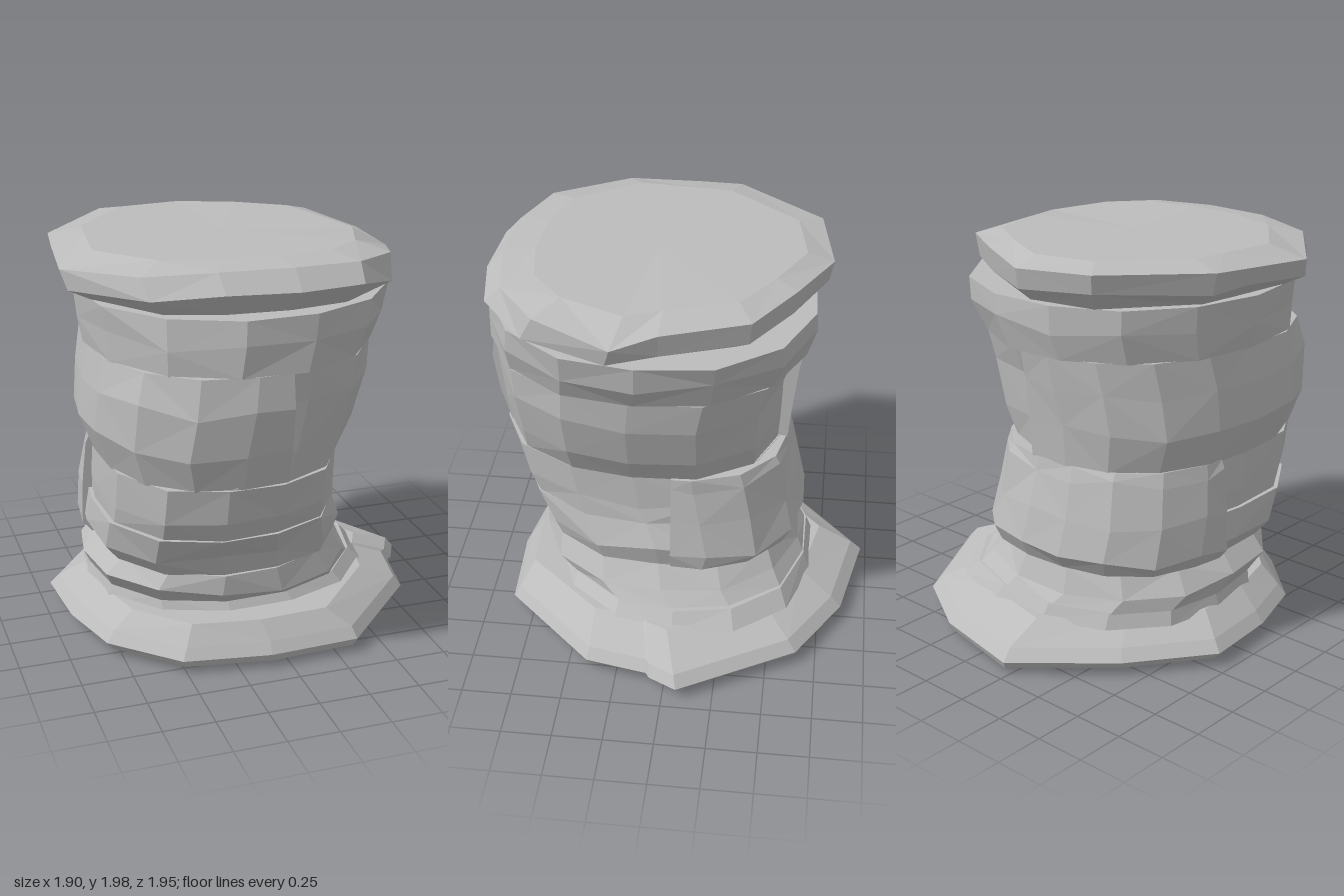
import * as THREE from 'three';

const stone = new THREE.MeshStandardMaterial({ color: 0xbcbcbc });
stone.name = 'stone grey';

// Small repeatable noise in -1..1
let seed = 7;
const noise = () => {
  seed = (seed * 16807) % 2147483647;
  return (seed / 2147483647) * 2 - 1;
};

// One uneven course outline from its bounds; angles in degrees.
// box squares the corners, skew swells the front-right and back-left ones, clip trims points.
function ring(y, x0, x1, z0, z1, { from = 0, to = 360, n = 14, wobble = 0, box = 2, skew = 0, clip } = {}) {
  const steps = to - from === 360 ? n : n - 1;
  const points = [];
  for (let i = 0; i < n; i++) {
    const a = THREE.MathUtils.degToRad(from + ((to - from) * i) / steps);
    const c = Math.cos(a), s = Math.sin(a);
    const corner = Math.pow(Math.abs(c) ** box + Math.abs(s) ** box, -1 / box);
    const r = corner * (1 + skew * Math.max(0, -Math.sin(2 * a))) * (1.008 + noise() * 0.01);
    const p = new THREE.Vector3(
      (x0 + x1) / 2 + ((x1 - x0) / 2) * c * r,
      y + noise() * wobble,
      (z0 + z1) / 2 + ((z1 - z0) / 2) * s * r);
    if (clip) clip(p);
    points.push(p);
  }
  return points;
}

// Faceted closed block through a stack of outlines
function block(name, rings) {
  const pos = [];
  const tri = (...v) => v.forEach((p) => pos.push(p.x, p.y, p.z));
  const n = rings[0].length;
  for (let k = 0; k < rings.length - 1; k++) {
    const a = rings[k], b = rings[k + 1];
    for (let i = 0; i < n; i++) {
      const j = (i + 1) % n;
      if ((i + k) % 2) {
        tri(a[i], b[i], a[j]);
        tri(a[j], b[i], b[j]);
      } else {
        tri(a[i], b[i], b[j]);
        tri(a[i], b[j], a[j]);
      }
    }
  }
  const centre = (r) => r.reduce((s, p) => s.add(p), new THREE.Vector3()).divideScalar(n);
  const low = rings[0], high = rings[rings.length - 1];
  const cLow = centre(low), cHigh = centre(high);
  for (let i = 0; i < n; i++) {
    const j = (i + 1) % n;
    tri(cLow, low[i], low[j]);
    tri(cHigh, high[j], high[i]);
  }
  const g = new THREE.BufferGeometry();
  g.setAttribute('position', new THREE.Float32BufferAttribute(pos, 3));
  g.computeVertexNormals();
  const mesh = new THREE.Mesh(g, stone);
  mesh.name = name;
  return mesh;
}

// Stack of rings sharing the same options; rows are [y, x0, x1, z0, z1]
const course = (name, rows, opts) => block(name, rows.map((row, k) => ring(...row, {
  ...opts,
  wobble: k > 0 && k < rows.length - 1 ? 0.025 : 0,
})));

export function createModel() {
  const tower = new THREE.Group();
  tower.name = 'stoneTower';

  // Spreading foot with an irregular outline and a notch on one side
  const footRim = [
    [0.95, -0.07], [0.88, 0.07], [0.85, 0.09], [0.79, 0.4], [0.35, 0.86], [-0.1, 0.88], [-0.52, 0.81],
    [-0.82, 0.52], [-0.92, 0.18], [-0.95, -0.21], [-0.66, -0.6], [-0.24, -0.97], [0.25, -0.87], [0.62, -0.65],
  ];
  const foot = (f) => footRim.map(([x, z]) => new THREE.Vector3(...f(x, z)));
  tower.add(block('foot', [
    foot((x, z) => [x * 0.82 - 0.04, 0.01, z * 0.86]),
    foot((x, z) => [x * 0.96, 0.04, z * 0.98]),
    foot((x, z) => [x, 0.08, z]),
    foot((x, z) => [x * 0.95, 0.135, z * 0.95 + 0.01]),
    foot((x, z) => [x * 0.77 - 0.05, 0.225, z * 0.82 + 0.06]),
  ]));

  // Lower courses
  const low = { box: 2.2, skew: 0.02 };
  tower.add(course('footCollar', [
    [0.2, -0.79, 0.67, -0.7, 0.66],
    [0.28, -0.77, 0.59, -0.66, 0.62],
  ], low));
  tower.add(course('lowerCourse', [
    [0.27, -0.77, 0.58, -0.66, 0.63],
    [0.35, -0.81, 0.52, -0.62, 0.73],
    [0.455, -0.73, 0.43, -0.58, 0.73],
  ], low));
  const neck = { box: 2.4, skew: 0.04 };
  tower.add(course('waistCourse', [
    [0.45, -0.73, 0.44, -0.56, 0.7],
    [0.55, -0.8, 0.46, -0.57, 0.74],
    [0.69, -0.79, 0.4, -0.55, 0.83],
  ], neck));
  tower.add(course('neckCourse', [
    [0.685, -0.77, 0.4, -0.54, 0.82],
    [0.78, -0.77, 0.39, -0.53, 0.87],
    [0.97, -0.76, 0.38, -0.5, 0.91],
  ], neck));

  // Bulging block across the back of the waist and neck
  tower.add(course('backBlock', [
    [0.45, -0.75, 0.45, -0.58, 0.66],
    [0.53, -0.8, 0.47, -0.63, 0.68],
    [0.72, -0.8, 0.43, -0.59, 0.72],
    [0.91, -0.77, 0.41, -0.55, 0.74],
    [0.968, -0.76, 0.4, -0.53, 0.74],
  ], { from: 176, to: 364, n: 10, box: 2.4, skew: 0.04, clip: (p) => { p.z = Math.min(p.z, 0.01); } }));

  // Main drum: a larger left half and a set-back right half, split by a vertical step
  tower.add(course('drumRightHalf', [
    [0.962, -0.7, 0.39, -0.47, 0.89],
    [1.12, -0.72, 0.47, -0.48, 0.9],
    [1.35, -0.72, 0.54, -0.49, 0.91],
    [1.512, -0.72, 0.56, -0.54, 0.92],
  ], { box: 2.2, skew: 0.08 }));
  tower.add(course('drumLeftHalf', [
    [0.962, -0.77, 0.42, -0.53, 0.9],
    [1.15, -0.84, 0.5, -0.55, 0.94],
    [1.35, -0.82, 0.55, -0.57, 0.97],
    [1.514, -0.79, 0.56, -0.6, 0.95],
  ], { from: 76, to: 284, n: 11, box: 2.3, skew: 0.04, clip: (p) => { p.x = Math.min(p.x, -0.03); } }));

  // Shoulder course under the cap
  tower.add(course('shoulderCourse', [
    [1.51, -0.81, 0.57, -0.61, 0.95],
    [1.65, -0.82, 0.64, -0.65, 0.95],
    [1.772, -0.83, 0.67, -0.65, 0.94],
  ], { box: 2.1, skew: 0.04 }));

  // Flaring cap slab with a chipped, uneven edge
  const capRim = [
    [0.7, 1.88, 0.25], [0.56, 1.94, 0.62], [0.33, 1.96, 0.81], [0, 1.97, 0.86], [-0.35, 1.97, 0.84],
    [-0.67, 1.95, 0.74], [-0.95, 1.92, 0.37], [-0.91, 1.94, 0], [-0.88, 1.95, -0.22], [-0.52, 1.96, -0.65],
    [-0.12, 1.94, -0.72], [0.22, 1.96, -0.56], [0.51, 1.95, -0.37], [0.63, 1.93, 0.04],
  ];
  const cap = (f) => capRim.map(([x, y, z]) => new THREE.Vector3(...f(x, y, z)));
  tower.add(block('cap', [
    cap((x, y, z) => [x * 0.83 - 0.01, 1.765, z * 0.91 + 0.05]),
    cap((x, y, z) => [x * 0.97, y - 0.1 + noise() * 0.02, z > 0 ? z * 1.1 : z * 0.97]),
    cap((x, y, z) => [x, y, z]),
    cap((x, y, z) => [x * 0.8 - 0.02, 1.985 + (y - 1.95) * 0.2, z * 0.82]),
  ]));

  return tower;
}
